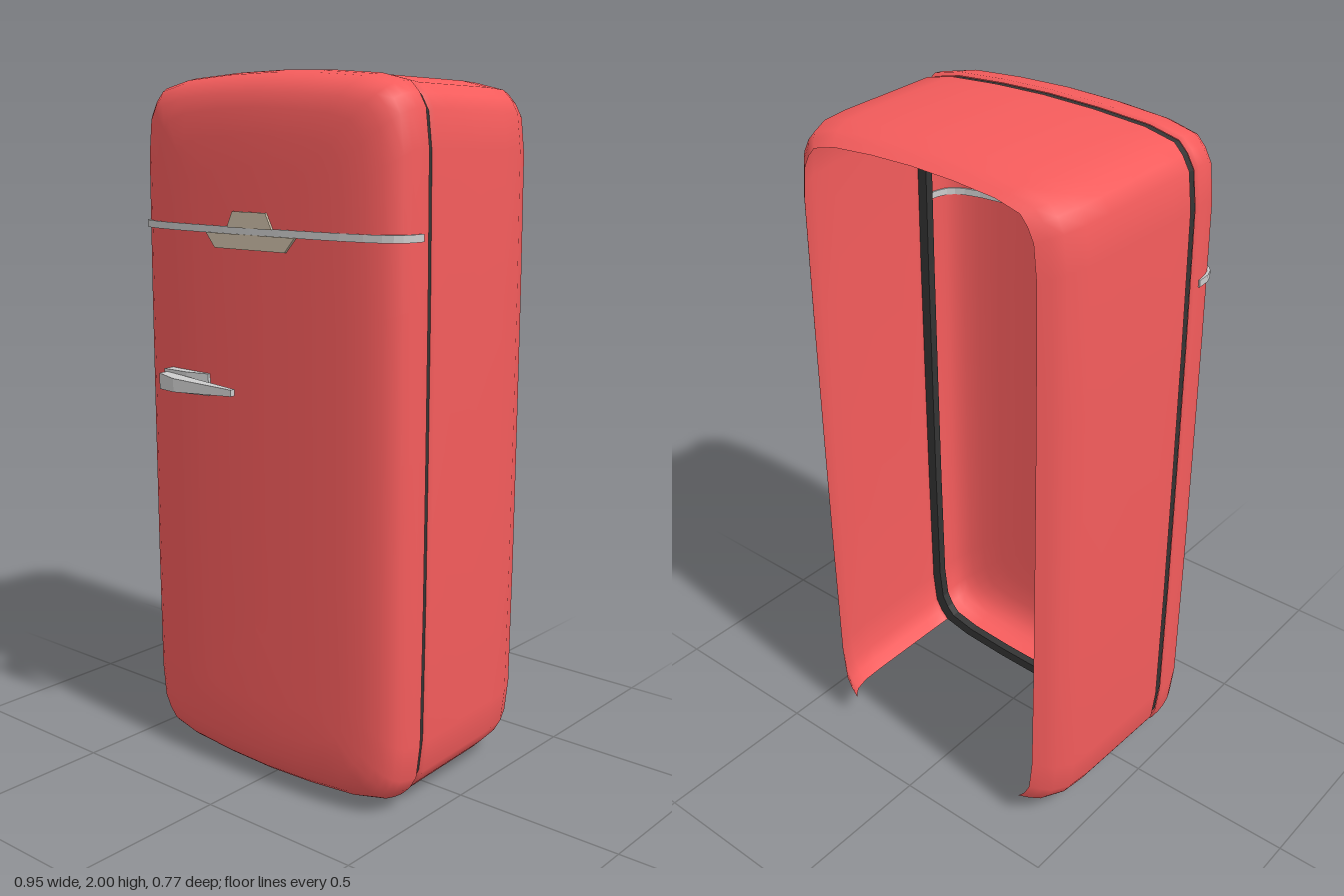
import * as THREE from 'three';

const RED = 0xf55c5c, DARK = 0x333333, BEIGE = 0xcdbfa8, GREY = 0xcccccc;
const HALF_W = 0.475;

// Upper right quarter of the softly bowed front outline, from side to top
const QUARTER = [[0.475, 0], [0.4745, 0.4], [0.471, 0.8], [0.459, 0.9], [0.437, 0.938],
  [0.41, 0.965], [0.32, 0.985], [0.16, 0.996], [0, 1]];

function mesh(name, geometry, color) {
  const m = new THREE.Mesh(geometry, new THREE.MeshStandardMaterial({ color, side: THREE.DoubleSide }));
  m.name = name;
  return m;
}

// Full outline, counter-clockwise from the bottom centre, around y = 0
function outline() {
  const right = [...QUARTER.slice(1).reverse().map(([x, y]) => [x, -y]), ...QUARTER];
  const left = right.slice(1, -1).reverse().map(([x, y]) => [-x, y]);
  return [...right, ...left];
}

// Skin through rings given as [insetX, insetY, z, bow]; a bow curves the ring back at its sides
function loft(points, rings, closed) {
  const pos = [], index = [], n = points.length;
  for (const [dx, dy, z, bow = 0] of rings) {
    for (const [px, py] of points) {
      const x = px * (HALF_W - dx) / HALF_W;
      pos.push(x, 1 + py * (1 - dy), z - bow * 0.1 * x * x);
    }
  }
  for (let r = 0; r < rings.length - 1; r++) {
    for (let i = 0; i < (closed ? n : n - 1); i++) {
      const a = r * n + i, b = r * n + (i + 1) % n;
      index.push(a, b, b + n, a, b + n, a + n);
    }
  }
  const g = new THREE.BufferGeometry();
  g.setAttribute('position', new THREE.Float32BufferAttribute(pos, 3));
  g.setIndex(index);
  g.computeVertexNormals();
  return g;
}

function shapeOf(points) {
  return new THREE.Shape(points.map(([x, y]) => new THREE.Vector2(x, y)));
}

// Plate drawn in front view, from z0 forward
function frontPlate(shape, z0, depth) {
  return new THREE.ExtrudeGeometry(shape, { depth, bevelEnabled: false }).translate(0, 0, z0);
}

// Bar drawn in plan as [x, z], centred on height y
function planBar(points, y, height) {
  return new THREE.ExtrudeGeometry(shapeOf(points), { depth: height, bevelEnabled: false })
    .rotateX(Math.PI / 2).translate(0, y + height / 2, 0);
}

export function createModel() {
  const group = new THREE.Group();
  const full = outline();

  // Cabinet shell, open at the back and underneath
  const start = 3, q = QUARTER.length;
  const side = full.slice(start, 2 * q - 1);
  const arch = [...side, ...side.slice(0, -1).reverse().map(([x, y]) => [-x, y])];
  group.add(mesh('cabinet', loft(arch, [
    [0.09, 0.05, -0.383], [0.062, 0.038, -0.36], [0.038, 0.028, -0.335], [0.015, 0.017, -0.28],
    [0.008, 0.012, -0.2], [0.006, 0.009, -0.08], [0.004, 0.006, 0.05],
    [0.003, 0.004, 0.122], [0.011, 0.011, 0.132],
  ], false), RED));

  // Hollow door with rounded rim and gently bowed front
  group.add(mesh('door', loft(full, [
    [0.008, 0.008, 0.15], [0, 0, 0.158], [0.002, 0.003, 0.19, 0.1], [0.007, 0.009, 0.225, 0.3],
    [0.015, 0.02, 0.252, 0.5], [0.03, 0.036, 0.273, 0.7], [0.055, 0.06, 0.291, 0.9],
    [0.1, 0.1, 0.304, 1], [0.17, 0.17, 0.309, 1], [0.27, 0.25, 0.31, 1],
    [0.37, 0.35, 0.31, 1], [0.475, 0.45, 0.31, 1],
  ], true), RED));

  // Gasket between cabinet and door
  const inset = (d) => full.map(([x, y]) => [x * (HALF_W - d) / HALF_W, 1 + y * (1 - d)]);
  const ring = shapeOf(inset(0.011));
  ring.holes.push(new THREE.Path(inset(0.042).map(([x, y]) => new THREE.Vector2(x, y))));
  group.add(mesh('gasket', frontPlate(ring, 0.128, 0.026), DARK));

  // Trim strip wrapping across the door
  const half = [[0.476, 0.18], [0.473, 0.222], [0.463, 0.25], [0.447, 0.268], [0.42, 0.281],
    [0.37, 0.294], [0.3, 0.303], [0.2, 0.309], [0.1, 0.3125]];
  const band = [...half, [0, 0.3135], ...half.slice().reverse().map(([x, z]) => [-x, z])];
  const inner = band.map(([x, z]) => [x * 0.978, z > 0.2 ? z - 0.008 : z]).reverse();
  group.add(mesh('trimStrip', planBar([...band, ...inner], 1.579, 0.02), GREY));

  // Two-piece badge plate around the strip
  const badge = new THREE.Group();
  badge.name = 'badge';
  badge.add(mesh('badgeUpper', frontPlate(shapeOf(
    [[-0.083, 1.587], [0.08, 1.587], [0.058, 1.63], [-0.063, 1.63]]), 0.3, 0.016), BEIGE));
  badge.add(mesh('badgeLower', frontPlate(shapeOf(
    [[-0.13, 1.53], [0.125, 1.53], [0.16, 1.57], [-0.163, 1.57]]), 0.3, 0.016), BEIGE));
  group.add(badge);

  // Handle: mounting block and tapered lever
  const handle = new THREE.Group();
  handle.name = 'handle';
  handle.add(mesh('handleBase', planBar(
    [[-0.325, 0.292], [-0.165, 0.3], [-0.165, 0.315], [-0.235, 0.331], [-0.325, 0.331]], 1.146, 0.062), GREY));
  const lever = planBar([[-0.315, 0.33], [-0.23, 0.335], [-0.03, 0.35], [-0.03, 0.365],
    [-0.235, 0.383], [-0.315, 0.36]], 0, 0.046);
  const p = lever.attributes.position;
  for (let i = 0; i < p.count; i++) {
    const t = THREE.MathUtils.clamp((p.getX(i) + 0.315) / 0.285, 0, 1);
    p.setY(i, 1.146 + p.getY(i) * (1 - 0.6 * t));
  }
  lever.computeVertexNormals();
  handle.add(mesh('handleLever', lever, GREY));
  group.add(handle);

  return group;
}
